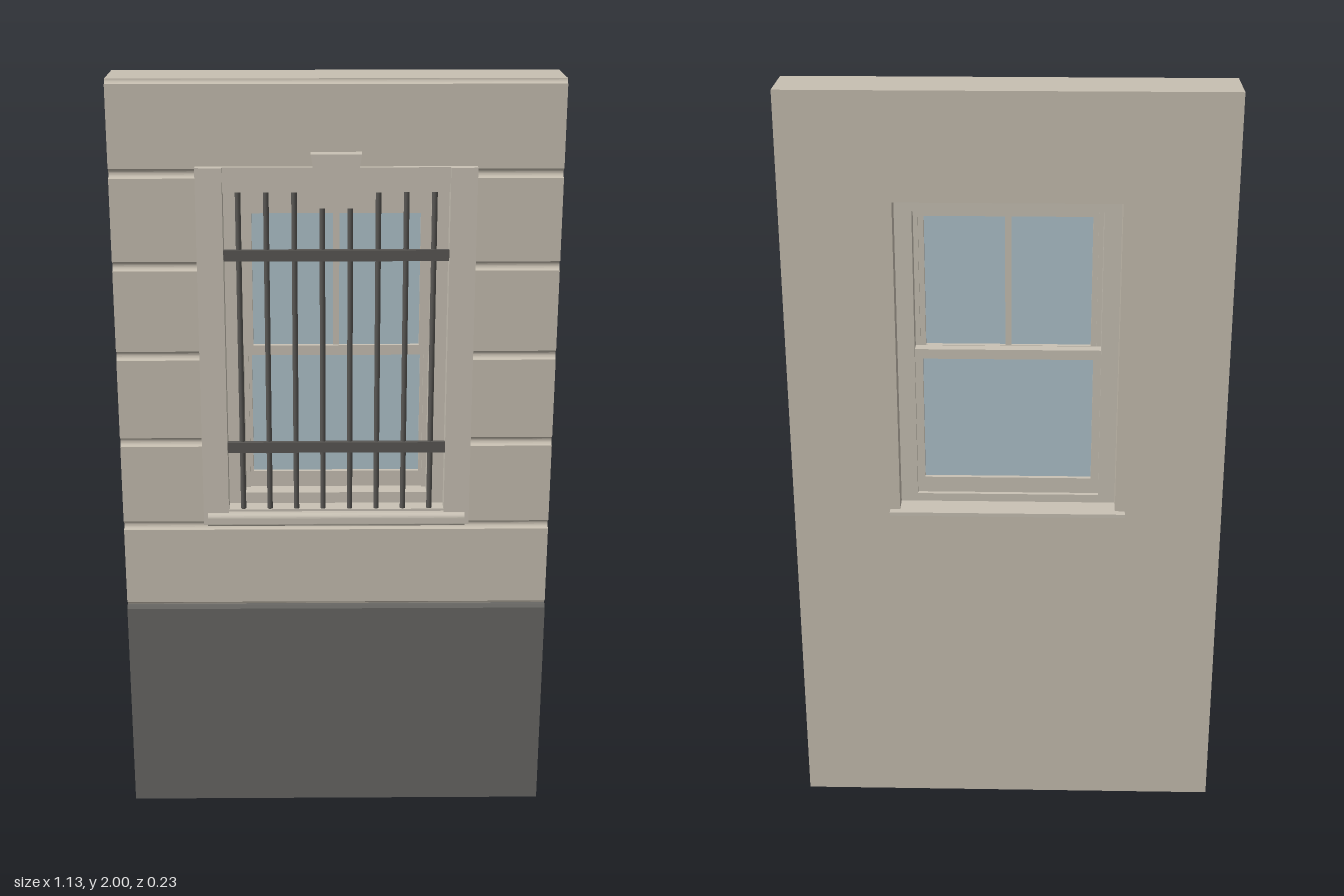
import * as THREE from 'three';

const flat = (name, color) => {
  const m = new THREE.MeshStandardMaterial({ color });
  m.name = name;
  return m;
};

export function createModel() {
  const stone = flat('wall stone', 0xc7bfb1);
  const trim = flat('pale trim', 0xc9c2b5);
  const plinthGrey = flat('plinth grey', 0x686764);
  const iron = flat('iron', 0x595754);
  const glass = flat('glass', 0xb0c4cc);

  const model = new THREE.Group();
  model.name = 'barredWindowWall';

  const add = (name, geo, mat, parent = model) => {
    const mesh = new THREE.Mesh(geo, mat);
    mesh.name = name;
    parent.add(mesh);
    return mesh;
  };
  // Box given by its limits on each axis
  const box = (name, mat, x0, x1, y0, y1, z0, z1, parent) => {
    const m = add(name, new THREE.BoxGeometry(x1 - x0, y1 - y0, z1 - z0), mat, parent);
    m.position.set((x0 + x1) / 2, (y0 + y1) / 2, (z0 + z1) / 2);
    return m;
  };
  const group = (name) => {
    const g = new THREE.Group();
    g.name = name;
    model.add(g);
    return g;
  };
  // Profile drawn in (z, y) and run along x
  const runAlongX = (shape, x0, x1) => {
    const geo = new THREE.ExtrudeGeometry(shape, { depth: x1 - x0, bevelEnabled: false, curveSegments: 6 });
    return geo.rotateY(-Math.PI / 2).translate(x1, 0, 0);
  };

  const W = 0.565, OX = 0.284, OY0 = 0.88, OY1 = 1.725;
  const back = -0.097, core = 0.061, face = 0.073, r = face - core;

  // Wall core with window opening
  const wall = new THREE.Shape();
  wall.moveTo(-W, 0).lineTo(W, 0).lineTo(W, 2).lineTo(-W, 2).closePath();
  const hole = new THREE.Path();
  hole.moveTo(-OX, OY0).lineTo(-OX, OY1).lineTo(OX, OY1).lineTo(OX, OY0).closePath();
  wall.holes.push(hole);
  add('wallCore', new THREE.ExtrudeGeometry(wall, { depth: core - back, bevelEnabled: false })
    .translate(0, 0, back), stone);

  // Stone courses, separated by hollow round grooves
  const courses = group('stoneCourses');
  for (let i = 0; i < 6; i++) {
    const y0 = 0.594 + i * 0.235;
    const y1 = Math.min(y0 + 0.235, 2);
    const s = new THREE.Shape();
    s.moveTo(core - 0.004, y0);
    s.lineTo(core, y0);
    s.absarc(face, y0, r, Math.PI, Math.PI / 2, true);
    s.lineTo(face, y1 - r);
    s.absarc(face, y1, r, Math.PI * 1.5, Math.PI, true);
    s.lineTo(core - 0.004, y1);
    s.closePath();
    const spans = i === 0 || i === 5 ? [[-W, W]] : [[-W, -0.3], [0.3, W]];
    for (const [a, b] of spans) add('course', runAlongX(s, a, b), stone, courses);
  }

  // Plinth with a small chamfer
  const p = new THREE.Shape();
  p.moveTo(core - 0.002, 0).lineTo(0.079, 0).lineTo(0.079, 0.588).lineTo(0.073, 0.596)
    .lineTo(core - 0.002, 0.596).closePath();
  add('plinth', runAlongX(p, -W, W), plinthGrey);

  // Stone surround
  const surround = group('windowSurround');
  for (const s of [-1, 1]) {
    const span = (a, b) => (s > 0 ? [a, b] : [-b, -a]);
    box('jamb', trim, ...span(0.283, 0.35), 0.84, 1.787, 0.055, 0.094, surround);
    box('jambFace', trim, ...span(0.283, 0.34), 0.87, 1.787, 0.094, 0.099, surround);
  }
  box('lintel', trim, -0.283, 0.283, OY1, 1.787, 0.055, 0.087, surround);

  // Keystone
  const k = new THREE.Shape();
  k.moveTo(-0.042, 1.69).lineTo(0.042, 1.69).lineTo(0.063, 1.823).lineTo(-0.063, 1.823).closePath();
  add('keystone', new THREE.ExtrudeGeometry(k, { depth: 0.05, bevelEnabled: false })
    .translate(0, 0, 0.061), trim);

  // Outer sill with a rounded nose
  const sill = new THREE.Shape();
  sill.moveTo(0.06, 0.842);
  sill.lineTo(0.106, 0.842);
  sill.absarc(0.106, 0.85, 0.008, -Math.PI / 2, 0, false);
  sill.lineTo(0.114, 0.864);
  sill.absarc(0.102, 0.864, 0.012, 0, Math.PI / 2, false);
  sill.lineTo(0.06, 0.876);
  sill.closePath();
  add('sillNose', runAlongX(sill, -0.338, 0.338), trim);
  box('sillBed', trim, -OX, OX, 0.85, 0.882, 0.03, 0.09);
  box('innerSill', trim, -0.31, 0.31, 0.88, 0.89, -0.118, -0.097);
  box('innerSillBed', trim, -OX, OX, 0.87, 0.89, -0.097, -0.03);

  // Fixed box frame in the opening
  const frame = group('windowFrame');
  for (const s of [-1, 1]) {
    const span = (a, b) => (s > 0 ? [a, b] : [-b, -a]);
    box('frameJamb', trim, ...span(0.24, OX), OY0, OY1, -0.045, 0.045, frame);
    box('partingBead', trim, ...span(0.228, 0.24), 0.9, 1.69, -0.002, 0.004, frame);
  }
  box('frameHead', trim, -0.24, 0.24, 1.688, OY1, -0.045, 0.045, frame);
  box('frameFoot', trim, -0.24, 0.24, OY0, 0.912, -0.045, 0.045, frame);

  // Sliding sashes
  const sash = (name, y0, y1, z, stile, top, bottom) => {
    const g = group(name);
    const d = 0.015, x = 0.24;
    box('stile', trim, -x, -x + stile, y0, y1, z - d, z + d, g);
    box('stile', trim, x - stile, x, y0, y1, z - d, z + d, g);
    box('topRail', trim, -x + stile, x - stile, y1 - top, y1, z - d, z + d, g);
    box('bottomRail', trim, -x + stile, x - stile, y0, y0 + bottom, z - d, z + d, g);
    box('glassPane', glass, -x + stile, x - stile, y0 + bottom, y1 - top, z - 0.003, z + 0.003, g);
    return g;
  };
  const upper = sash('upperSash', 1.29, 1.688, 0.02, 0.026, 0.026, 0.026);
  box('glazingBar', trim, -0.008, 0.008, 1.316, 1.662, 0.01, 0.03, upper);
  sash('lowerSash', 0.912, 1.318, -0.018, 0.02, 0.026, 0.043);

  // Iron grille
  const grille = group('grille');
  for (let i = 0; i < 8; i++) {
    const bar = add('uprightBar', new THREE.CylinderGeometry(0.007, 0.007, 0.85, 12), iron, grille);
    bar.position.set((i - 3.5) * 0.07, 1.303, 0.08);
  }
  for (const y of [1.056, 1.566]) {
    box('crossBar', iron, -0.283, 0.283, y - 0.014, y + 0.014, 0.08, 0.094, grille);
  }

  return model;
}
